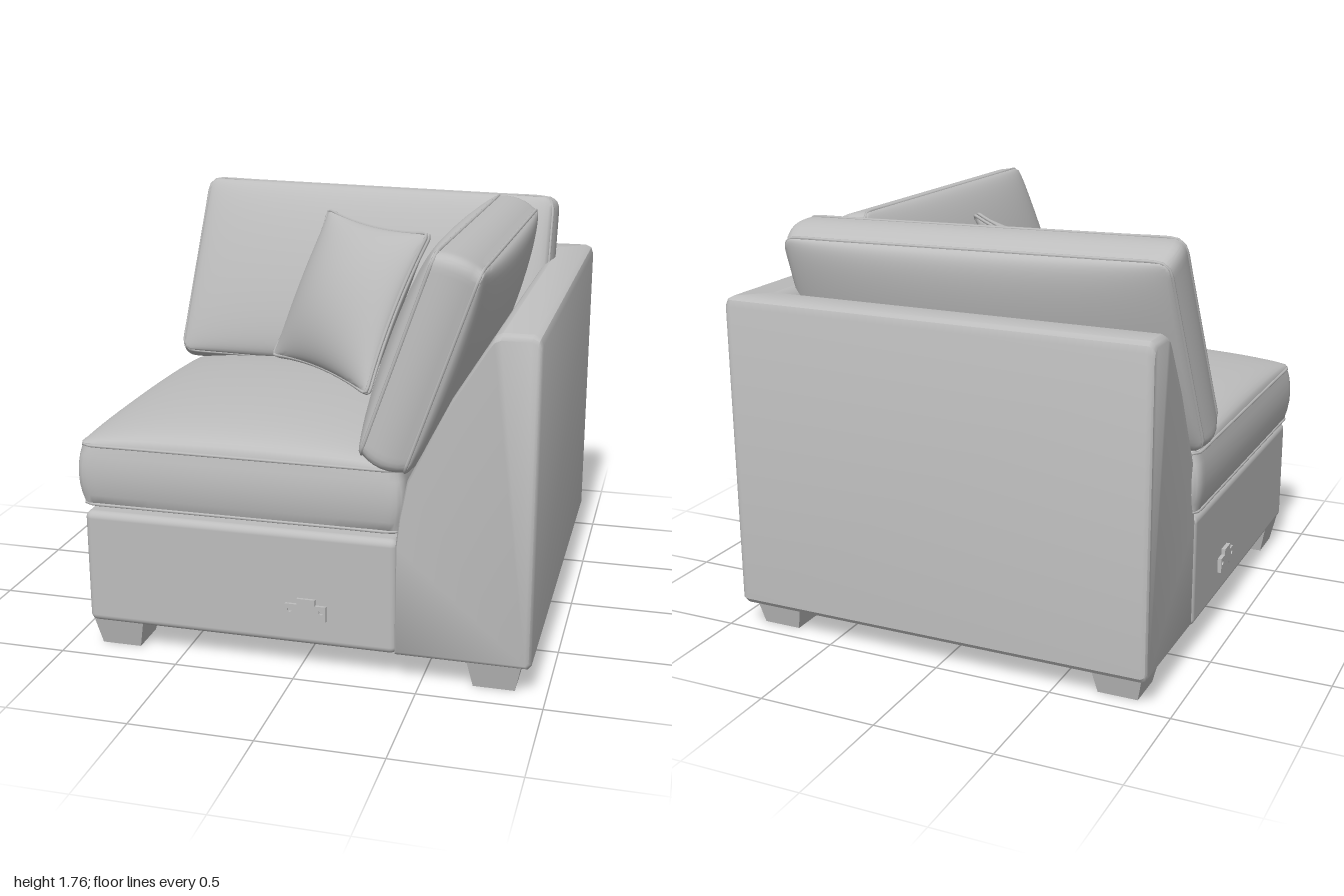
import * as THREE from 'three';
import { mergeVertices, toCreasedNormals } from 'three/addons/utils/BufferGeometryUtils.js';
import { RoundedBoxGeometry } from 'three/addons/geometries/RoundedBoxGeometry.js';

const fabric = new THREE.MeshStandardMaterial({ color: 0xbdbdbd });
fabric.name = 'greyFabric';

function mesh(name, geometry) {
  const m = new THREE.Mesh(geometry, fabric);
  m.name = name;
  return m;
}

// Move every vertex by a rule
function bend(geometry, rule) {
  const p = geometry.attributes.position, v = new THREE.Vector3();
  for (let i = 0; i < p.count; i++) {
    v.fromBufferAttribute(p, i);
    rule(v);
    p.setXYZ(i, v.x, v.y, v.z);
  }
  return geometry;
}

function smooth(geometry, crease = 0.7) {
  geometry.deleteAttribute('normal');
  geometry.deleteAttribute('uv');
  return toCreasedNormals(mergeVertices(geometry, 1e-4), crease);
}

// Domed cushion with a side band and piping; the broad faces look along +z and -z
function cushion(name, { w, h, t, front, back, r = 0.05, band = 0.018, power = 0.38, pipe = 0.007, warp = () => {} }) {
  const group = new THREE.Group();
  group.name = name;
  const body = bend(new THREE.BoxGeometry(2, 2, 2, 32, 32, 6), (v) => {
    const u = Math.sin(v.x * Math.PI / 2), k = Math.sin(v.y * Math.PI / 2), s = v.z;
    const dome = Math.pow(Math.max(0, (1 - u * u) * (1 - k * k)), power);
    v.set(u * w / 2, k * h / 2, s * t / 2);
    if (s > 0.999) v.z += front * dome;
    if (s < -0.999) v.z -= back * dome;
    // round the outline corners
    const cx = w / 2 - r, cy = h / 2 - r;
    const dx = Math.abs(v.x) - cx, dy = Math.abs(v.y) - cy;
    if (dx > 0 && dy > 0) {
      const f = Math.min(1, r / Math.hypot(dx, dy));
      v.x = Math.sign(v.x) * (cx + dx * f);
      v.y = Math.sign(v.y) * (cy + dy * f);
    }
    // swell the band between the seams
    const swell = band * (1 - Math.min(1, s * s));
    v.x += u * swell;
    v.y += k * swell;
    warp(v);
  });
  group.add(mesh(name + 'Body', smooth(body)));

  const pts = [];
  for (let c = 0; c < 4; c++) {
    const sx = c === 0 || c === 3 ? 1 : -1, sy = c < 2 ? 1 : -1;
    for (let i = 0; i <= 4; i++) {
      const a = (c + i / 4) * Math.PI / 2;
      pts.push([sx * (w / 2 - r) + r * Math.cos(a), sy * (h / 2 - r) + r * Math.sin(a)]);
    }
    const len = c % 2 ? h : w, ex = c % 2 ? 0 : -1, ey = c % 2 ? (c === 1 ? -1 : 1) : 0;
    const [px, py] = pts[pts.length - 1], dir = c === 2 ? -ex : ex;
    for (let i = 1; i < 8; i++) pts.push([px + dir * (len - 2 * r) * i / 8, py + ey * (len - 2 * r) * i / 8]);
  }
  for (const side of [-1, 1]) {
    const path = pts.map(([x, y]) => {
      const v = new THREE.Vector3(x, y, side * t / 2);
      warp(v);
      return v;
    });
    group.add(mesh(name + 'Piping', new THREE.TubeGeometry(new THREE.CatmullRomCurve3(path, true), 150, pipe, 6, true)));
  }
  return group;
}

// L-shaped arm and back: one sloped profile swept round the corner
function cornerWall() {
  // d = distance in from the outer face, y = height
  const profile = [[0.015, 0.115], [0, 0.135], [0, 1.41], [0.01, 1.437], [0.035, 1.45], [0.15, 1.45], [0.175, 1.438],
    [0.195, 1.41], [0.33, 1.19], [0.5, 0.85], [0.53, 0.7], [0.545, 0.57], [0.545, 0.115]];
  const R = 0.04, X = 0.94, Z = -1, left = -0.9, frontZ = 0.935;
  const shrink = (k, [d, y]) => [0.27 + (d - 0.27) * k, 0.75 + (y - 0.75) * k];
  const sections = [];
  const ends = [[0, 0.965], [0.008, 0.985], [0.025, 1]];
  for (const [o, k] of ends) sections.push((p) => { const [d, y] = shrink(k, p); return [left + o, y, Z + d]; });
  for (let i = 0; i <= 5; i++) {
    const a = i / 5 * Math.PI / 2;
    sections.push(([d, y]) => {
      const c = Math.max(d, R), rr = c - d;
      return [X - c + rr * Math.sin(a), y, Z + c - rr * Math.cos(a)];
    });
  }
  for (const [o, k] of [...ends].reverse()) sections.push((p) => { const [d, y] = shrink(k, p); return [X - d, y, frontZ - o]; });

  const n = profile.length, pos = [], index = [];
  for (const s of sections) for (const p of profile) pos.push(...s(p));
  for (let i = 0; i < sections.length - 1; i++) for (let j = 0; j < n; j++) {
    const a = i * n + j, b = i * n + (j + 1) % n;
    index.push(a, b, a + n, b, b + n, a + n);
  }
  const last = (sections.length - 1) * n;
  for (let j = 1; j < n - 1; j++) index.push(0, j + 1, j, last, last + j, last + j + 1);
  const g = new THREE.BufferGeometry();
  g.setAttribute('position', new THREE.Float32BufferAttribute(pos, 3));
  g.setIndex(index);
  return toCreasedNormals(g, 0.6);
}

// Flat connector plate with a raised centre tab and two screw holes
function bracket() {
  const s = new THREE.Shape([[-0.085, -0.045], [-0.04, -0.045], [-0.03, -0.03], [0.03, -0.03], [0.04, -0.045], [0.085, -0.045],
    [0.085, 0.02], [0.04, 0.02], [0.04, 0.045], [-0.035, 0.045], [-0.035, 0.02], [-0.085, 0.02]].map((p) => new THREE.Vector2(...p)));
  for (const x of [-0.065, 0.065]) {
    const hole = new THREE.Path();
    hole.absarc(x, -0.005, 0.01, 0, Math.PI * 2, true);
    s.holes.push(hole);
  }
  return mesh('connectorBracket', new THREE.ExtrudeGeometry(s, { depth: 0.022, bevelEnabled: false, curveSegments: 6 }));
}

export function createModel() {
  const model = new THREE.Group();
  model.name = 'cornerSofaSection';

  // Frame
  model.add(mesh('armAndBack', cornerWall()));
  const base = mesh('seatBase', new RoundedBoxGeometry(1.31, 0.485, 1.39, 4, 0.03));
  base.position.set(-0.25, 0.3575, 0.23);
  model.add(base);

  // Tapered feet
  for (const [x, z] of [[-0.785, 0.795], [0.79, 0.795], [-0.755, -0.835], [0.79, -0.835]]) {
    const foot = mesh('foot', bend(new THREE.BoxGeometry(0.22, 0.125, 0.22), (v) => {
      if (v.y < 0) { v.x *= 0.76; v.z *= 0.76; }
    }));
    foot.geometry.computeVertexNormals();
    foot.position.set(x, 0.0625, z);
    model.add(foot);
  }

  // Brackets on the two open sides
  const frontBracket = bracket();
  frontBracket.position.set(0.035, 0.275, 0.915);
  const sideBracket = bracket();
  sideBracket.position.set(-0.9, 0.275, -0.045);
  sideBracket.rotation.y = -Math.PI / 2;
  model.add(frontBracket, sideBracket);

  // Seat cushion
  const seat = cushion('seatCushion', { w: 1.33, h: 1.42, t: 0.25, front: 0.12, back: 0.035 });
  seat.rotation.x = -Math.PI / 2;
  seat.position.set(-0.25, 0.757, 0.205);
  model.add(seat);

  // Leaning back cushions
  const backCushion = cushion('backCushion', {
    w: 1.69, h: 0.84, t: 0.18, front: 0.1, back: 0.1,
    warp: (v) => {
      if (v.x < 0) v.x += 0.035 * (v.y / 0.42) * (-v.x / 0.845);
      v.y -= 0.02 * v.x;
    },
  });
  backCushion.rotation.x = -0.34;
  backCushion.position.set(-0.065, 1.315, -0.555);
  const sideCushion = cushion('sideCushion', { w: 1.52, h: 0.84, t: 0.18, front: 0.1, back: 0.1 });
  sideCushion.rotation.set(-0.34, -Math.PI / 2, 0, 'YXZ');
  sideCushion.position.set(0.49, 1.315, 0.215);
  model.add(backCushion, sideCushion);

  // Throw pillow with pinched edges, leaning in the corner
  const pillow = cushion('throwPillow', {
    w: 0.78, h: 0.72, t: 0.016, front: 0.13, back: 0.13, r: 0.02, band: 0, power: 0.6, pipe: 0.008,
    warp: (v) => {
      const u = v.x / 0.39, k = v.y / 0.36;
      v.x *= 1 - 0.08 * (1 - k * k);
      v.y *= 1 - 0.08 * (1 - u * u);
    },
  });
  const across = new THREE.Vector3(0.58, 0, 0.53).normalize();
  const facing = across.clone().cross(new THREE.Vector3(0.18, 0.64, -0.25)).normalize();
  const up = facing.clone().cross(across);
  pillow.quaternion.setFromRotationMatrix(new THREE.Matrix4().makeBasis(across, up, facing));
  pillow.position.set(-0.045, 1.33, -0.045);
  model.add(pillow);

  return model;
}
